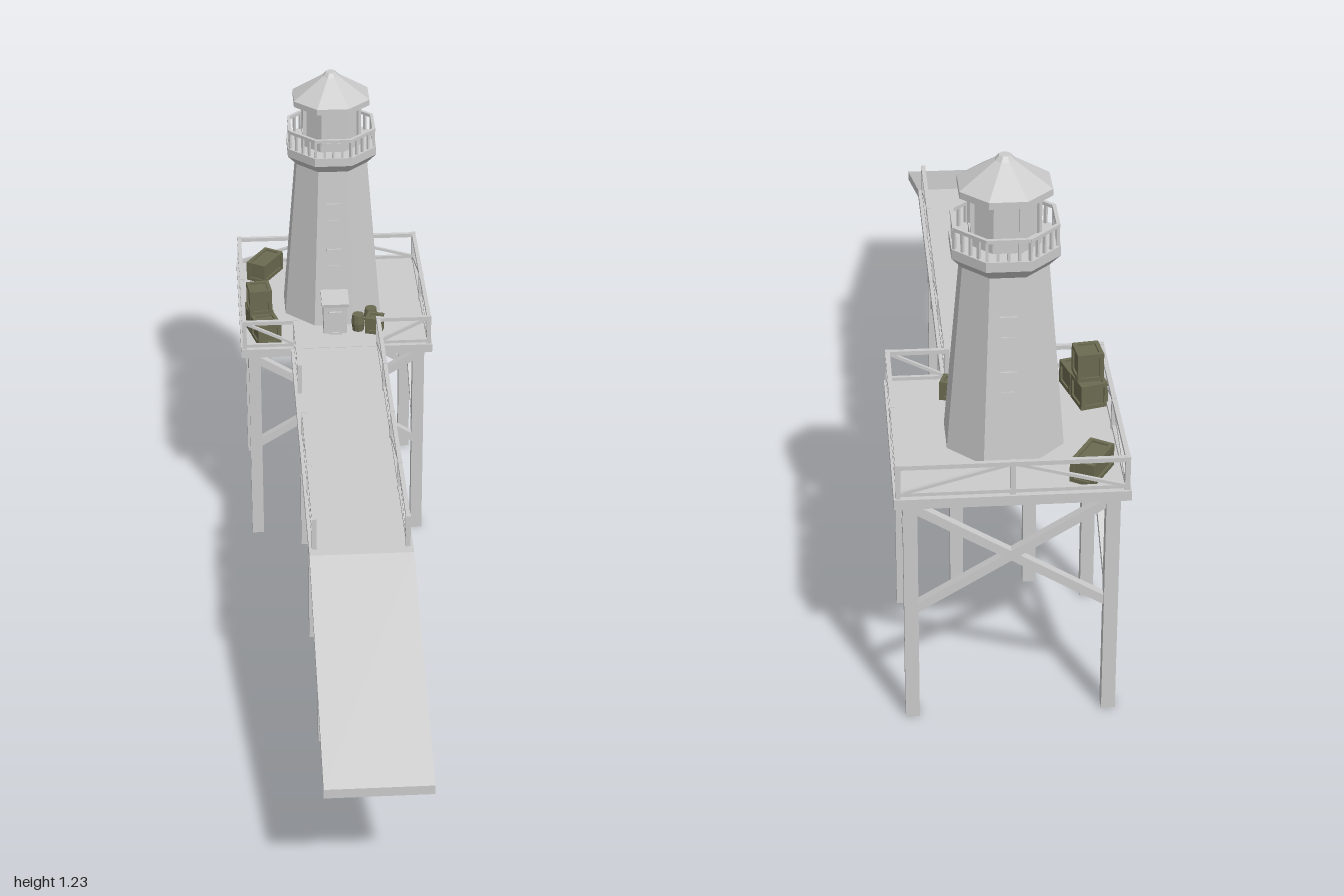
import * as THREE from 'three';

const grey = new THREE.MeshStandardMaterial({ color: 0xcccccc, flatShading: true });
const olive = new THREE.MeshStandardMaterial({ color: 0x6b6a50, flatShading: true });
const DECK = 0.568;

function add(parent, name, geo, x = 0, y = 0, z = 0, mat = grey) {
  const m = new THREE.Mesh(geo, mat);
  m.name = name;
  m.position.set(x, y, z);
  parent.add(m);
  return m;
}
const box = (parent, name, w, h, d, x, y, z, mat) =>
  add(parent, name, new THREE.BoxGeometry(w, h, d), x, y, z, mat);

// Square bar between two points
function beam(parent, name, a, b, t) {
  const p = new THREE.Vector3(...a), q = new THREE.Vector3(...b);
  const m = box(parent, name, t, t, p.distanceTo(q), 0, 0, 0);
  m.position.copy(p).lerp(q, 0.5);
  m.lookAt(q);
  return m;
}

function group(parent, name, x = 0, y = 0, z = 0) {
  const g = new THREE.Group();
  g.name = name;
  g.position.set(x, y, z);
  parent.add(g);
  return g;
}

// Crossed pair of braces between two legs given as [x, z]
function crossBrace(parent, a, b) {
  const hi = 0.53, lo = 0.27;
  beam(parent, 'brace', [a[0], hi, a[1]], [b[0], lo, b[1]], 0.02);
  beam(parent, 'brace', [a[0], lo, a[1]], [b[0], hi, b[1]], 0.02);
}

// Railing from a to b ([x, z]) split into bays with alternating diagonals
function railing(parent, a, b, bays) {
  const at = (i, y) => [a[0] + (b[0] - a[0]) * i / bays, y, a[1] + (b[1] - a[1]) * i / bays];
  const top = DECK + 0.073, low = DECK + 0.008;
  for (let i = 0; i <= bays; i++) {
    const p = at(i, 0);
    box(parent, 'railPost', 0.011, 0.08, 0.011, p[0], DECK + 0.039, p[2]);
    if (i === bays) break;
    const up = i % 2;
    beam(parent, 'railDiagonal', at(i, up ? top : low), at(i + 1, up ? low : top), 0.007);
  }
  beam(parent, 'handrail', at(0, top), at(bays, top), 0.01);
  beam(parent, 'bottomRail', at(0, low), at(bays, low), 0.008);
}

// Octagonal prism or frustum with flat faces on the axes; radii are apothems
function octagon(parent, name, rTop, rBottom, y0, y1) {
  const k = 1 / Math.cos(Math.PI / 8);
  const geo = new THREE.CylinderGeometry(rTop * k, rBottom * k, y1 - y0, 8);
  geo.rotateY(Math.PI / 8);
  return add(parent, name, geo, 0, (y0 + y1) / 2, 0);
}

// Framed rectangle (window or door) facing +z
function framed(parent, name, w, h) {
  const g = group(parent, name), t = 0.005;
  box(g, name + 'Panel', w, h, 0.003, 0, 0, 0);
  for (const s of [-1, 1]) {
    box(g, name + 'Jamb', t, h, 0.01, s * (w - t) / 2, 0, 0);
    box(g, name + 'Rail', w, t, 0.01, 0, s * (h - t) / 2, 0);
  }
  return g;
}

// Crate with raised edge battens
function crate(parent, w, h, d, x, y, z, turn) {
  const g = group(parent, 'crate', x, y + h / 2, z), t = 0.009, e = t / 2;
  g.rotation.y = turn;
  box(g, 'crateBody', w - t, h - t, d - t, 0, 0, 0, olive);
  for (const s of [-1, 1]) for (const u of [-1, 1]) {
    box(g, 'batten', w, t, t, 0, s * (h / 2 - e), u * (d / 2 - e), olive);
    box(g, 'batten', t, h, t, s * (w / 2 - e), 0, u * (d / 2 - e), olive);
    box(g, 'batten', t, t, d, s * (w / 2 - e), u * (h / 2 - e), 0, olive);
  }
}

function barrel(parent, x, z) {
  const pts = [[0, 0], [0.015, 0], [0.018, 0.022], [0.015, 0.045], [0, 0.045]];
  add(parent, 'barrel', new THREE.LatheGeometry(pts.map(p => new THREE.Vector2(...p)), 10), x, DECK, z, olive);
}

function buildTower(parent) {
  const t = group(parent, 'tower', 0, 0, -0.753);
  octagon(t, 'towerWall', 0.09, 0.124, DECK, 0.99);
  octagon(t, 'galleryFlare', 0.112, 0.09, 0.99, 1.015);
  octagon(t, 'galleryFloor', 0.112, 0.112, 1.015, 1.037);
  octagon(t, 'lanternSill', 0.073, 0.073, 1.037, 1.06);
  octagon(t, 'lanternRoom', 0.066, 0.066, 1.06, 1.14);
  octagon(t, 'lanternHead', 0.073, 0.073, 1.14, 1.15);
  octagon(t, 'roofEave', 0.095, 0.095, 1.148, 1.163);
  octagon(t, 'roof', 0.02, 0.095, 1.163, 1.215);
  octagon(t, 'roofCap', 0.012, 0.02, 1.215, 1.225);

  // Lantern corner posts and gallery railing, one octagon side at a time
  const half = Math.tan(Math.PI / 8);
  for (let i = 0; i < 8; i++) {
    const side = group(t, 'gallerySide');
    side.rotation.y = i * Math.PI / 4;
    const r = 0.106, w = r * half;
    box(side, 'galleryHandrail', 2 * w + 0.003, 0.008, 0.008, 0, 1.082, r);
    for (let j = 0; j < 4; j++)
      box(side, 'baluster', 0.006, 0.045, 0.006, -w + j * w / 2, 1.058, r);
    box(side, 'lanternPost', 0.009, 0.09, 0.009, 0.068 * half, 1.1, 0.068);
  }

  // Windows on the front and back faces, following the slope of the wall
  for (const back of [0, 1]) {
    const face = group(t, 'windowFace');
    face.rotation.y = back * Math.PI;
    for (const y of [0.756, 0.88]) {
      const win = framed(face, 'window', 0.036, 0.05);
      win.position.set(0, y, 0.124 - 0.034 * (y - DECK) / 0.422 + 0.001);
      win.rotation.x = -Math.atan(0.034 / 0.422);
    }
  }

  // Porch with a sloping roof
  box(t, 'porch', 0.06, 0.085, 0.07, 0, DECK + 0.0425, 0.135);
  const roof = box(t, 'porchRoof', 0.07, 0.009, 0.085, 0, 0.66, 0.14);
  roof.rotation.x = 0.14;
  framed(t, 'door', 0.034, 0.064).position.set(0, DECK + 0.032, 0.171);
}

export function createModel() {
  const model = new THREE.Group();
  model.name = 'pierLighthouse';

  // Platform
  box(model, 'platform', 0.49, 0.023, 0.49, 0, DECK - 0.0115, -0.755);

  // Walkway and ramp from one side profile
  const profile = new THREE.Shape([[-0.52, 0.567], [0.44, 0.567], [1, 0.35], [1, 0.327], [0.44, 0.547], [-0.52, 0.547]]
    .map(p => new THREE.Vector2(...p)));
  const deck = new THREE.ExtrudeGeometry(profile, { depth: 0.236, bevelEnabled: false });
  deck.rotateY(-Math.PI / 2).translate(0.118, 0, 0);
  add(model, 'walkway', deck);

  // Legs and braces
  const supports = group(model, 'supports');
  const leg = (x, z) => box(supports, 'leg', 0.03, 0.55, 0.03, x, 0.275, z);
  const F = -0.54, B = -0.96, X = 0.211, W = 0.084, rows = [0.37, -0.053, -0.475];
  for (const s of [-1, 1]) {
    leg(s * X, F);
    leg(s * X, B);
    crossBrace(supports, [s * X, F], [s * X, B]);
    rows.forEach((z, i) => {
      leg(s * W, z);
      if (i) crossBrace(supports, [s * W, rows[i - 1]], [s * W, z]);
    });
  }
  for (const z of [F, B]) crossBrace(supports, [-X, z], [X, z]);

  // Railings, with a gap on the walkway's right side
  const rails = group(model, 'railings');
  const R = 0.236, w = 0.106, front = -0.519, rear = -0.99;
  railing(rails, [w, 0.41], [w, front], 4);
  railing(rails, [-w, 0.41], [-w, -0.06], 2);
  railing(rails, [-w, -0.288], [-w, front], 1);
  for (const s of [-1, 1]) {
    railing(rails, [s * w, front], [s * R, front], 1);
    railing(rails, [s * R, front], [s * R, rear], 2);
  }
  railing(rails, [-R, rear], [R, rear], 2);

  buildTower(model);

  // Cargo on the platform
  const cargo = group(model, 'cargo');
  crate(cargo, 0.062, 0.058, 0.065, -0.197, DECK, -0.635, 0.26);
  crate(cargo, 0.062, 0.055, 0.065, -0.179, DECK, -0.567, 0.26);
  crate(cargo, 0.058, 0.066, 0.06, -0.194, DECK + 0.058, -0.62, 0.12);
  crate(cargo, 0.055, 0.052, 0.1, -0.17, DECK, -0.925, -0.55);
  crate(cargo, 0.042, 0.044, 0.04, 0.102, DECK, -0.592, -0.3);
  barrel(cargo, 0.06, -0.602);
  barrel(cargo, 0.095, -0.634);
  return model;
}
